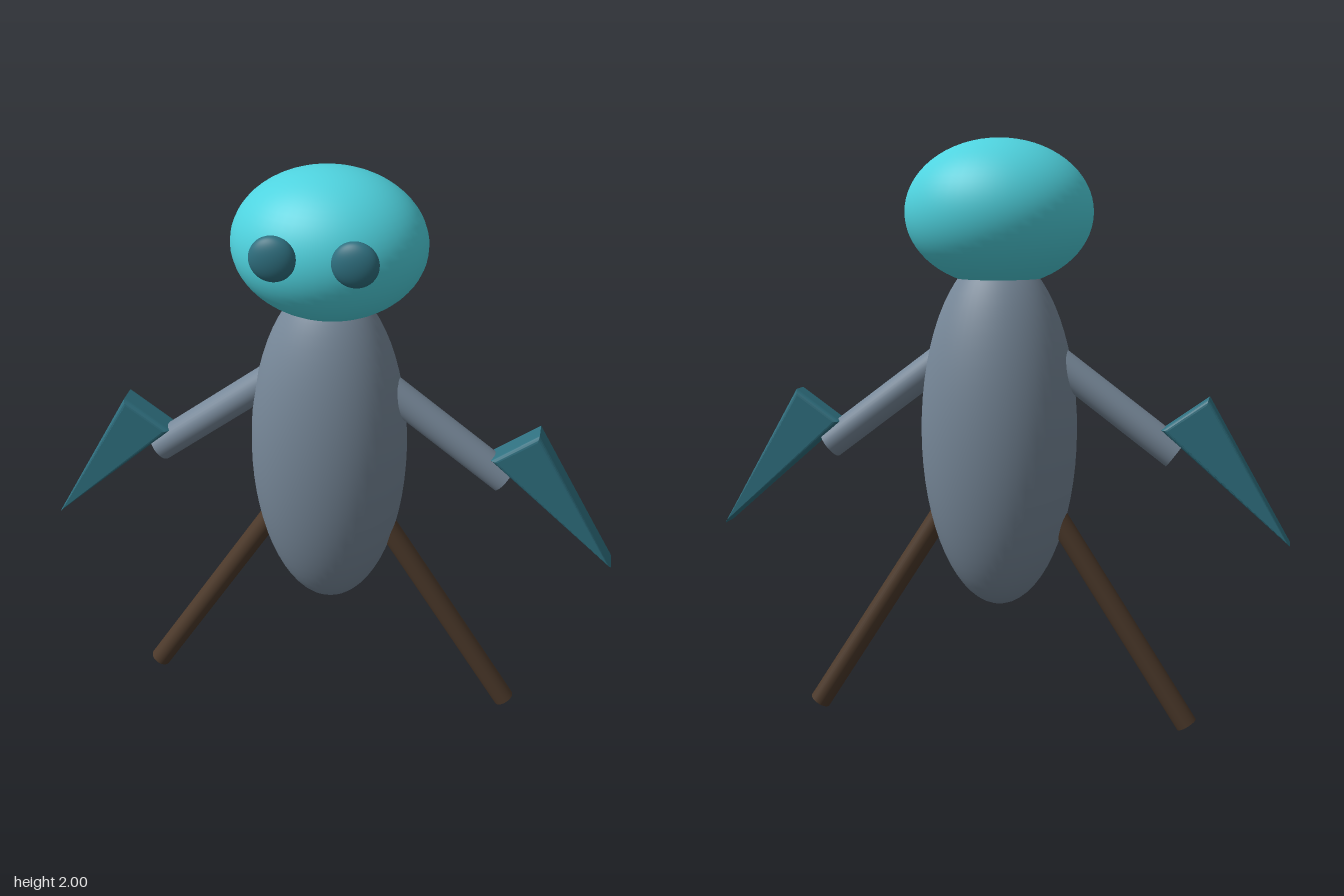
import * as THREE from 'three';

const Z = -0.012; // shared depth of body, limbs and claws

const mat = (color) => new THREE.MeshStandardMaterial({ color });

function add(group, name, geometry, material) {
  const mesh = new THREE.Mesh(geometry, material);
  mesh.name = name;
  group.add(mesh);
  return mesh;
}

function ellipsoid(group, name, material, center, radii) {
  const mesh = add(group, name, new THREE.SphereGeometry(1, 48, 32), material);
  mesh.position.set(...center);
  mesh.scale.set(...radii);
}

// Straight round limb between two points in the x-y plane
function rod(group, name, material, from, to, radius) {
  const a = new THREE.Vector3(...from, Z);
  const b = new THREE.Vector3(...to, Z);
  const dir = b.clone().sub(a);
  const mesh = add(group, name, new THREE.CylinderGeometry(radius, radius, dir.length(), 32), material);
  mesh.position.copy(a).add(b).multiplyScalar(0.5);
  mesh.quaternion.setFromUnitVectors(new THREE.Vector3(0, 1, 0), dir.normalize());
}

// Triangular blade with softened edges
function claw(group, name, material, side) {
  const corners = [[0.71, 1.15], [0.555, 1.04], [0.985, 0.665]];
  const shape = new THREE.Shape(corners.map(([x, y]) => new THREE.Vector2(side * x, y)));
  const bevel = 0.016, thickness = 0.096;
  const geometry = new THREE.ExtrudeGeometry(shape, {
    depth: thickness - 2 * bevel,
    bevelThickness: bevel,
    bevelSize: bevel,
    bevelOffset: -bevel,
    bevelSegments: 4,
  });
  geometry.translate(0, 0, Z - thickness / 2 + bevel);
  add(group, name, geometry, material);
}

export function createModel() {
  const model = new THREE.Group();
  const cyan = mat(0x4fd3df);
  const teal = mat(0x2f7080);
  const slate = mat(0x778899);
  const brown = mat(0x4d3a2b);

  // Body and head
  ellipsoid(model, 'body', slate, [0, 1.02, Z], [0.267, 0.605, 0.217]);
  ellipsoid(model, 'head', cyan, [0, 1.755, -0.015], [0.318, 0.245, 0.266]);

  // Mirrored parts
  for (const [side, label] of [[1, 'left'], [-1, 'right']]) {
    ellipsoid(model, label + 'Eye', teal, [side * 0.128, 1.793, 0.243], [0.074, 0.074, 0.037]);
    rod(model, label + 'Arm', slate, [side * 0.16, 1.289], [side * 0.602, 0.957], 0.053);
    claw(model, label + 'Claw', teal, side);
    rod(model, label + 'Leg', brown, [side * 0.141, 0.822], [side * 0.655, 0.021], 0.037);
  }
  return model;
}
